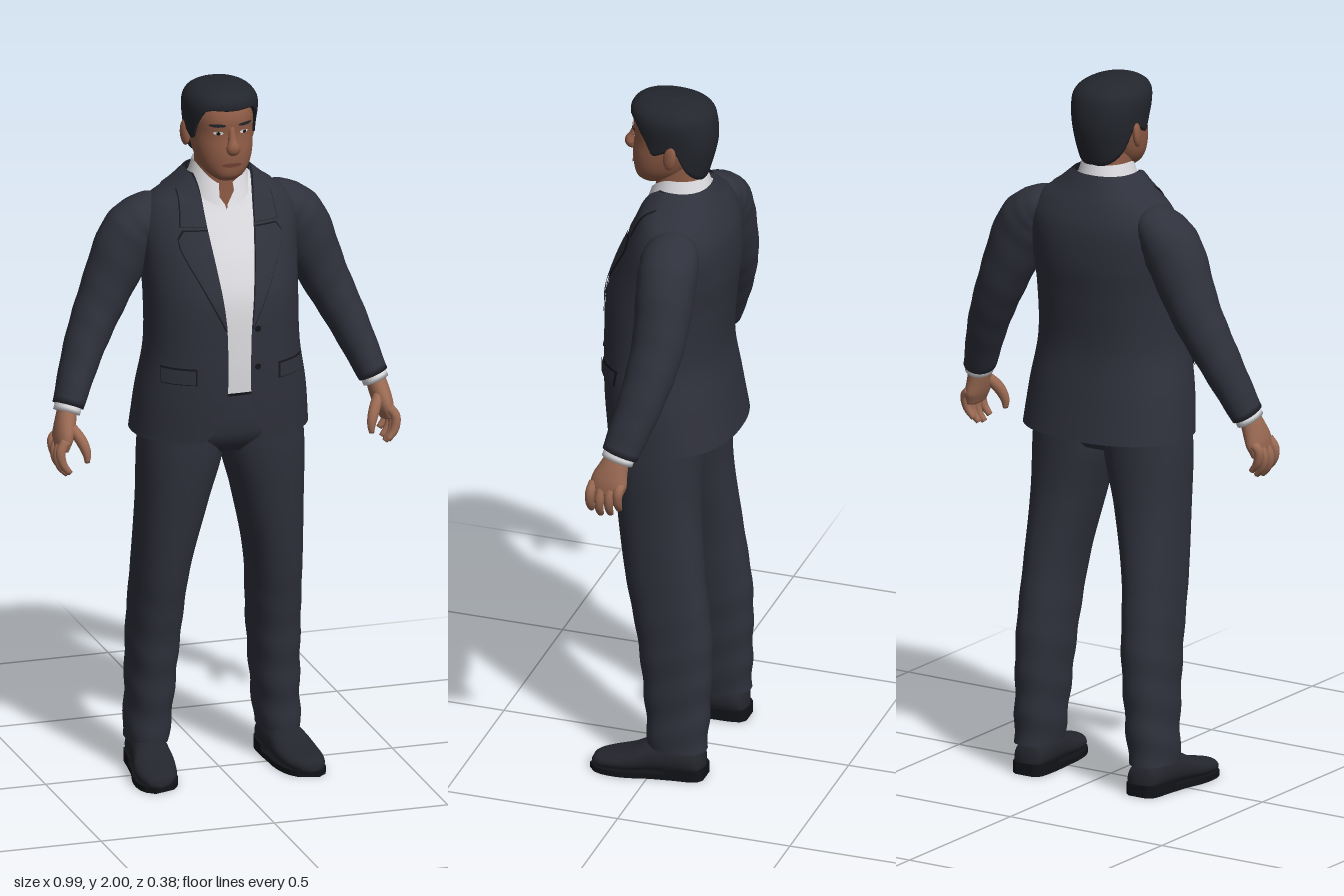
import * as THREE from 'three';
import { mergeVertices } from 'three/addons/utils/BufferGeometryUtils.js';

const mat = (name, color) => {
  const m = new THREE.MeshStandardMaterial({ color, side: THREE.DoubleSide });
  m.name = name;
  return m;
};
const M = {
  suit: mat('suit cloth', 0x2f313c), seam: mat('dark seam', 0x17181e), shirt: mat('shirt white', 0xdcdce0),
  face: mat('face skin', 0x8f5c46), hand: mat('hand skin', 0x9c6b54), hair: mat('hair', 0x23262d),
  shoe: mat('shoe leather', 0x24262d), sole: mat('sole black', 0x121317), lip: mat('lips', 0x754238),
};
const TAU = Math.PI * 2;

// Smooth interpolation of rows [key, values...] at key k
function at(rows, k) {
  const n = rows.length - 1;
  let i = 0;
  while (i < n - 1 && k > rows[i + 1][0]) i++;
  const a = rows[i], b = rows[i + 1], h = b[0] - a[0];
  const t = Math.min(1, Math.max(0, (k - a[0]) / h));
  const slope = (j, c) => {
    const p = rows[Math.max(0, j - 1)], q = rows[Math.min(n, j + 1)];
    return (q[c] - p[c]) / (q[0] - p[0]);
  };
  return a.slice(1).map((v, c) => {
    const m0 = slope(i, c + 1) * h, m1 = slope(i + 1, c + 1) * h, w = b[c + 1];
    return v + t * m0 + t * t * (3 * (w - v) - 2 * m0 - m1) + t * t * t * (2 * (v - w) + m0 + m1);
  });
}

// Surface from a function of u and v, with shared smooth normals
function grid(name, material, nu, nv, fn) {
  const pos = [], idx = [];
  for (let j = 0; j <= nv; j++) for (let i = 0; i <= nu; i++) pos.push(...fn(i / nu, j / nv, j));
  for (let j = 0; j < nv; j++) for (let i = 0; i < nu; i++) {
    const a = j * (nu + 1) + i, c = a + nu + 1;
    idx.push(a, a + 1, c + 1, a, c + 1, c);
  }
  let g = new THREE.BufferGeometry();
  g.setAttribute('position', new THREE.Float32BufferAttribute(pos, 3));
  g.setIndex(idx);
  g = mergeVertices(g, 1e-5);
  g.computeVertexNormals();
  const mesh = new THREE.Mesh(g, material);
  mesh.name = name;
  return mesh;
}

// Upright body rows: [y, centre x, half width, front z, back z]; angle 0 faces front
const bend = (v) => Math.sign(v) * Math.abs(v) ** 0.9;
function skinPoint(rows, y, a, off = 0) {
  const [cx, rx, zf, zb] = at(rows, y);
  return [cx + (rx + off) * bend(Math.sin(a)), y, (zf + zb) / 2 + ((zf - zb) / 2 + off) * bend(Math.cos(a))];
}
const angleAt = (rows, x, y) => {
  const r = Math.min(0.97, Math.abs(x) / at(rows, y)[1]);
  return Math.sign(x) * Math.asin(r ** (1 / 0.9));
};
function loft(name, material, rows, y0, y1, nv, { off = 0, gap = () => 0, nu = 48, ripple = () => 0 } = {}) {
  return grid(name, material, nu, nv, (u, v) => {
    const y = y0 + (y1 - y0) * v, g = gap(y);
    return skinPoint(rows, y, g + (TAU - 2 * g) * u, off + ripple(y, u));
  });
}
// Thin plate lying on the front of a body, between x limits given per height
const patch = (name, material, rows, y0, y1, xa, xb, off, n = 12) => grid(name, material, n, n, (u, v) => {
  const y = y0 + (y1 - y0) * v, x = xa(y) + (xb(y) - xa(y)) * u;
  return skinPoint(rows, y, angleAt(rows, x, y), off);
});
const oval = (name, material, rows, x, y, rx, ry, off) => {
  const w = (k) => rx * Math.sqrt(Math.max(0, 1 - ((k - y) / ry) ** 2));
  return patch(name, material, rows, y - ry, y + ry, (k) => x - w(k), (k) => x + w(k), off);
};

// Capped limb through points [x, y, z, half width, half depth]
function limb(name, material, pts, nv = 20, nu = 20, ripple = 0) {
  const rows = pts.map((p, i) => [i, ...p]), end = pts.length - 1;
  return grid(name, material, nu, nv + 2, (u, v, j) => {
    const t = Math.min(1, Math.max(0, (j - 1) / nv)) * end;
    const [x, y, z, ra, rb] = at(rows, t);
    const p = at(rows, Math.max(0, t - 0.05)), q = at(rows, Math.min(end, t + 0.05));
    const d = new THREE.Vector3(q[0] - p[0], q[1] - p[1], q[2] - p[2]).normalize();
    const A = new THREE.Vector3(0, 0, 1).cross(d).normalize(), B = d.clone().cross(A);
    const s = j === 0 || j === nv + 2 ? 0 : 1 + ripple * Math.sin(t * 11 + Math.cos(u * TAU) * 2);
    return new THREE.Vector3(x, y, z).addScaledVector(A, ra * s * Math.cos(u * TAU))
      .addScaledVector(B, rb * s * Math.sin(u * TAU)).toArray();
  });
}

const JACKET = [[1.0, 0, .25, .175, -.19], [1.12, 0, .238, .186, -.17], [1.25, 0, .217, .19, -.152], [1.4, 0, .215, .184, -.162],
  [1.5, 0, .22, .155, -.172], [1.6, 0, .222, .112, -.165], [1.66, 0, .195, .085, -.142], [1.7, 0, .135, .073, -.12], [1.74, 0, .088, .062, -.1]];
const OPENING = [[1.0, .1], [1.04, .06], [1.12, .036], [1.3, .034], [1.4, .042], [1.6, .066], [1.7, .074], [1.74, .08]];
const LAPEL = [[1.33, 0], [1.45, .045], [1.57, .082], [1.6, .062]];
const HEAD = [[1.735, 0, .028, .095, .04], [1.75, 0, .05, .11, 0], [1.78, 0, .071, .117, -.04], [1.82, 0, .082, .12, -.075],
  [1.87, 0, .086, .116, -.1], [1.92, 0, .088, .118, -.105], [1.96, 0, .08, .1, -.095], [1.985, 0, .05, .07, -.05]];
const HAIR = [[1.76, 0, .07, .06, -.088], [1.82, 0, .089, .11, -.106], [1.88, 0, .097, .116, -.118], [1.94, 0, .102, .124, -.113],
  [1.97, 0, .092, .122, -.1], [1.99, 0, .065, .098, -.066], [2.0, 0, .02, .06, -.02]];
const HAIRLINE = [[0, 1.945], [.7, 1.942], [1, 1.9], [1.25, 1.85], [1.5, 1.86], [1.75, 1.87], [2.1, 1.8], [2.6, 1.77], [3.15, 1.765]];
const LEG = [[.085, .19, .06, .015, -.152], [.2, .182, .064, .025, -.157], [.4, .173, .071, .05, -.16], [.6, .162, .077, .09, -.136],
  [.8, .137, .098, .12, -.115], [.95, .117, .117, .137, -.115], [1.1, .11, .11, .14, -.12]];
const HIPS = [[.95, 0, .19, .1, -.08], [1.0, 0, .222, .14, -.115], [1.17, 0, .2, .155, -.13]];
const NECK = [[1.62, 0, .075, .052, -.09], [1.7, 0, .064, .053, -.083], [1.82, 0, .062, .06, -.085]];
// Shoe rows: [z, centre x, half width, height]
const SHOE = [[-.15, .186, .025, .065], [-.135, .187, .042, .085], [-.07, .189, .05, .105], [0, .196, .054, .1],
  [.06, .205, .06, .072], [.12, .213, .053, .055], [.155, .219, .034, .045], [.17, .221, .012, .03]];

const openX = (y) => at(OPENING, y)[0];

function buildTorso(g) {
  // Shirt with open neck, seen between the jacket fronts
  const vNeck = (y) => (y < 1.65 ? 0 : angleAt(JACKET, (y - 1.65) * 0.75, y));
  g.add(loft('shirt', M.shirt, JACKET, 1.14, 1.73, 40, { off: -.02, gap: vNeck }));
  g.add(grid('shirtCollar', M.shirt, 48, 6, (u, v) => {
    const a = .28 + (TAU - .56) * u, f = Math.max(0, Math.cos(a)) ** 2;
    const low = 1.7 - .045 * f, high = 1.768 - .055 * f, k = 1 - v;
    return [(.07 + .02 * k) * Math.sin(a), low + (high - low) * v, -.012 + (.078 + .02 * k) * Math.cos(a)];
  }));
  // Trouser top, belt and buckle
  g.add(loft('trouserHips', M.suit, HIPS, .95, 1.17, 10));
  g.add(loft('belt', M.seam, HIPS, 1.13, 1.168, 2, { off: .008 }));
  g.add(patch('beltBuckle', M.sole, HIPS, 1.132, 1.166, () => -.02, () => .02, .012, 4));
  // Jacket
  g.add(loft('jacket', M.suit, JACKET, 1.0, 1.74, 60, { nu: 72, gap: (y) => angleAt(JACKET, openX(y), y) }));
  g.add(loft('jacketCollarBack', M.suit, JACKET, 1.69, 1.74, 4, { off: .007, gap: () => 1.25 }));
  const button = (x, y) => g.add(oval('button', M.sole, JACKET, x, y, .009, .009, .006));
  button(.05, 1.33); button(.05, 1.22);
}

function buildSide(g) {
  // Lapel with a dark edge showing round it
  [['lapelEdge', M.seam, .005, .003], ['lapel', M.suit, 0, .007]].forEach(([n, m, grow, off]) => {
    g.add(patch(n, m, JACKET, 1.33, 1.6 + grow / 2, openX, (y) => openX(y) + at(LAPEL, y)[0] + grow, off));
    g.add(patch(n.replace('lapel', 'collar'), m, JACKET, 1.612 - grow / 2, 1.74, openX,
      (y) => openX(y) + .068 - (y - 1.61) * .2 + grow, off));
  });
  // Pocket flap
  g.add(patch('pocketEdge', M.seam, JACKET, 1.174, 1.222, () => .115, () => .2, .003));
  g.add(patch('pocketFlap', M.suit, JACKET, 1.178, 1.218, () => .118, () => .197, .007));
  // Sleeve and cuff
  g.add(limb('sleeve', M.suit, [[.14, 1.635, -.05, .035, .05], [.195, 1.61, -.052, .062, .078], [.245, 1.545, -.055, .083, .083],
    [.315, 1.39, -.055, .069, .074], [.38, 1.25, -.03, .056, .064], [.44, 1.1, .014, .042, .052]], 48, 28, .012));
  g.add(limb('shirtCuff', M.shirt, [[.43, 1.125, .008, .036, .043], [.446, 1.083, .02, .037, .046]], 4));
  // Hand
  g.add(limb('palm', M.hand, [[.442, 1.1, .016, .026, .032], [.452, 1.06, .028, .028, .042], [.462, 1.02, .038, .026, .052],
    [.47, .985, .042, .018, .044]]));
  [.085, .058, .03, .005].forEach((z, i) => {
    const drop = [.012, 0, .005, .022][i];
    g.add(limb('finger', M.hand, [[.466, 1.02, z - .005, .014, .013], [.483, .98 + drop, z, .014, .014],
      [.478, .945 + drop, z + .003, .012, .012], [.458, .918 + drop, z + .005, .008, .009]], 12, 10));
  });
  g.add(limb('thumb', M.hand, [[.446, 1.055, .05, .014, .016], [.424, 1.02, .078, .016, .017], [.411, .985, .092, .013, .013],
    [.41, .957, .095, .007, .008]], 12, 10));
  // Trouser leg, creased by soft folds towards the ankle
  g.add(loft('trouserLeg', M.suit, LEG, .085, 1.1, 60, {
    nu: 32, ripple: (y, u) => .003 * Math.max(0, 1 - y / .65) * Math.sin(y * 55 + Math.cos(u * TAU) * 2),
  }));
  // Shoe upper
  g.add(grid('shoe', M.shoe, 24, 30, (u, v, j) => {
    const z = -.15 + .32 * v, [x, w, h] = at(SHOE, z), s = j === 0 || j === 30 ? 0 : 1, a = -u * TAU;
    return [x + w * s * bend(Math.cos(a)), (h + .008) / 2 + s * (h - .008) / 2 * bend(Math.sin(a)), z];
  }));
  // Sole and heel cut from the shoe outline
  const slab = (name, z0, z1, height) => {
    const pts = [];
    for (let i = 0; i <= 32; i++) {
      const z = z0 + (z1 - z0) * (i <= 16 ? i : 32 - i) / 16, [x, w] = at(SHOE, z);
      pts.push(new THREE.Vector2(x + (i <= 16 ? 1 : -1) * (w + .003), -z));
    }
    const geo = new THREE.ExtrudeGeometry(new THREE.Shape(pts), { depth: height, bevelEnabled: false }).rotateX(-Math.PI / 2);
    const mesh = new THREE.Mesh(geo, M.sole);
    mesh.name = name;
    g.add(mesh);
  };
  slab('sole', -.15, .17, .016);
  slab('heel', -.15, -.045, .034);
  // Ear, eye and brow
  const ear = new THREE.Mesh(new THREE.SphereGeometry(1, 16, 12).scale(.011, .036, .02), M.face);
  ear.position.set(.094, 1.85, -.012);
  ear.rotation.set(-.15, -.3, 0);
  ear.name = 'ear';
  g.add(ear);
  g.add(oval('eye', M.shirt, HEAD, .036, 1.88, .013, .005, .002));
  g.add(oval('iris', M.sole, HEAD, .036, 1.88, .005, .005, .004));
  g.add(oval('eyebrow', M.hair, HEAD, .038, 1.903, .021, .005, .004));
}

function buildHead(g) {
  g.add(loft('neck', M.face, NECK, 1.62, 1.82, 10));
  g.add(loft('head', M.face, HEAD, 1.735, 1.985, 40));
  g.add(grid('chin', M.face, 24, 2, (u, v) => skinPoint(HEAD, 1.735, u * TAU, -.03 * (1 - v))));
  g.add(limb('nose', M.face, [[0, 1.895, .112, .008, .008], [0, 1.86, .122, .012, .013], [0, 1.838, .13, .02, .018],
    [0, 1.825, .118, .013, .012]], 16, 16));
  g.add(oval('mouth', M.lip, HEAD, 0, 1.787, .027, .006, .003));
  // Hair cap following the hairline, tucked in along its lower edge
  g.add(grid('hair', M.hair, 72, 25, (u, v, j) => {
    const a = u * TAU, low = at(HAIRLINE, Math.min(a, TAU - a))[0];
    const t = Math.sin(Math.max(0, j - 1) / 24 * Math.PI / 2);
    return skinPoint(HAIR, low + (2 - low) * t, a, j === 0 ? -.02 : 0);
  }));
  g.add(grid('hairCrown', M.hair, 36, 2, (u, v) => {
    const [x, y, z] = skinPoint(HAIR, 2, u * TAU);
    return [x * (1 - v), y, .02 + (z - .02) * (1 - v)];
  }));
}

export function createModel() {
  const model = new THREE.Group();
  model.name = 'manInSuit';
  const part = (name, build, mirror = 1) => {
    const g = new THREE.Group();
    g.name = name;
    build(g);
    g.scale.x = mirror;
    model.add(g);
  };
  part('torso', buildTorso);
  part('headAndNeck', buildHead);
  part('leftSide', buildSide);
  part('rightSide', buildSide, -1);
  return model;
}
